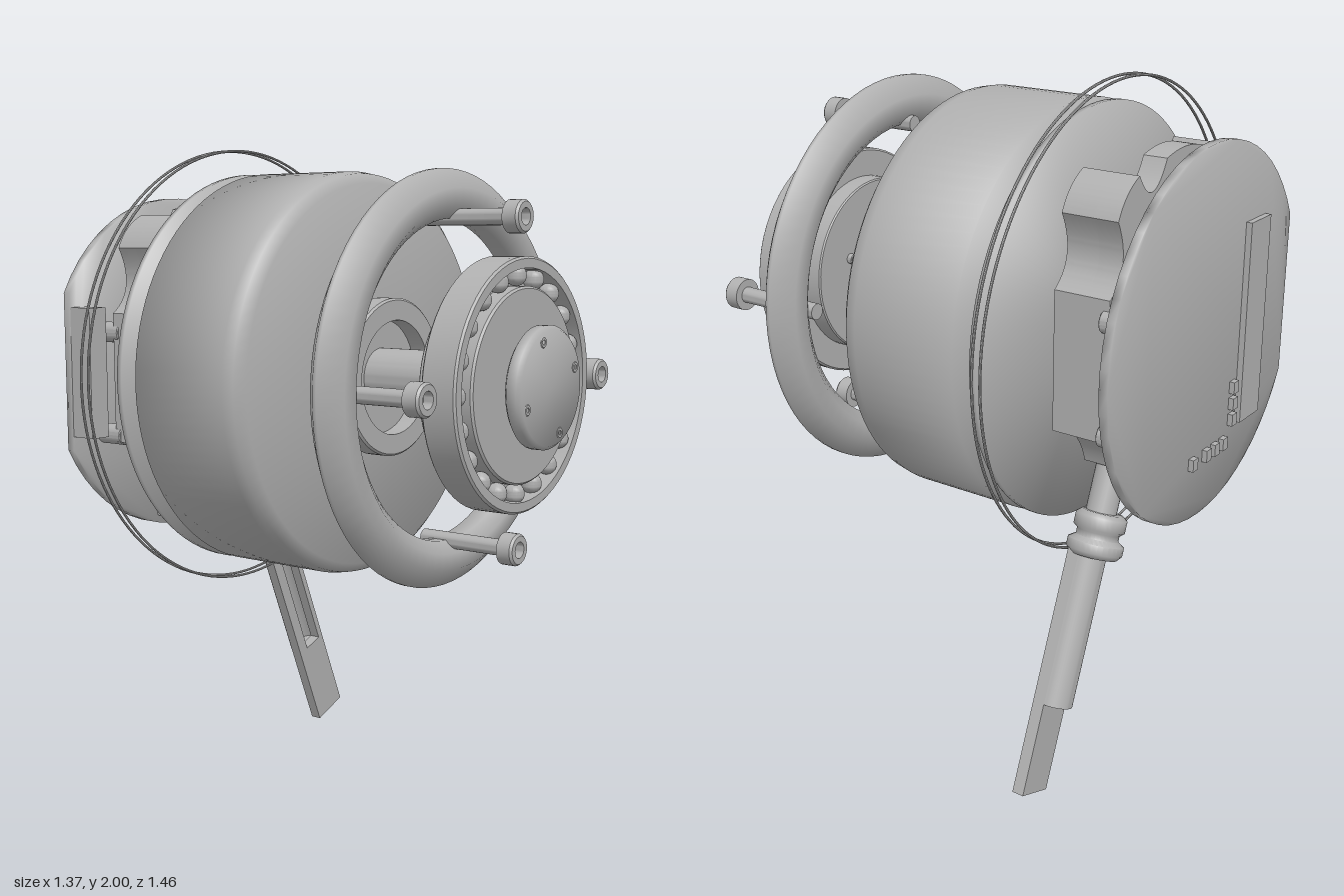
import * as THREE from 'three';
import { toCreasedNormals } from 'three/addons/utils/BufferGeometryUtils.js';

export function createModel() {
  const model = new THREE.Group();
  const metal = new THREE.MeshStandardMaterial({ color: 0xb0b0b0, side: THREE.DoubleSide });
  metal.name = 'grey metal';
  const SHARP = 0.6, SMOOTH = Math.PI;

  // everything but the lever hangs on one horizontal axis
  const axis = new THREE.Group();
  axis.name = 'axisAssembly';
  axis.position.y = 1.318;
  model.add(axis);

  function add(name, geometry, x = 0, y = 0, z = 0, crease = SHARP, parent = axis) {
    const mesh = new THREE.Mesh(toCreasedNormals(geometry, crease), metal);
    mesh.name = name;
    mesh.position.set(x, y, z);
    parent.add(mesh);
    return mesh;
  }
  // [radius, z] profile turned about the z axis
  const turned = (profile, segments = 64) =>
    new THREE.LatheGeometry(profile.map(([r, z]) => new THREE.Vector2(r, z)), segments).rotateX(Math.PI / 2);
  // disc or ring with small chamfers
  function ring(rIn, rOut, z0, z1, c = 0.004, segments = 64) {
    const p = [[rIn, z0], [rOut - c, z0], [rOut, z0 + c], [rOut, z1 - c], [rOut - c, z1], [rIn, z1]];
    if (rIn > 0) p.push([rIn, z0]);
    return turned(p, segments);
  }
  const box = (x0, x1, y0, y1, z0, z1) =>
    new THREE.BoxGeometry(x1 - x0, y1 - y0, z1 - z0).translate((x0 + x1) / 2, (y0 + y1) / 2, (z0 + z1) / 2);
  const extrude = (shape, z0, z1) =>
    new THREE.ExtrudeGeometry(shape, { depth: z1 - z0, bevelEnabled: false, curveSegments: 24 }).translate(0, 0, z0);

  // central shaft
  add('shaft', ring(0, 0.086, -0.45, 0.5));

  // front cap with four small flush screws
  add('frontCap', turned([[0, 0.6], [0.11, 0.6], [0.11, 0.675], [0.16, 0.675], [0.173, 0.686],
    [0.173, 0.715], [0.162, 0.727], [0, 0.727]]), 0, 0, 0, 0.9);
  for (let i = 0; i < 4; i++) {
    const a = 0.37 + i * Math.PI / 2;
    add('capScrew', ring(0.007, 0.016, 0.72, 0.729, 0.002, 16), Math.cos(a) * 0.138, Math.sin(a) * 0.138);
  }

  // ball bearing
  add('bearingOuterRing', ring(0.328, 0.36, 0.535, 0.645, 0.006));
  add('bearingInnerRing', ring(0.11, 0.278, 0.535, 0.645, 0.006));
  add('bearingBack', ring(0.27, 0.335, 0.535, 0.59));
  for (let i = 0; i < 20; i++) {
    const a = i * Math.PI / 10 + 0.02;
    add('bearingBall', new THREE.SphereGeometry(0.03, 16, 12), Math.cos(a) * 0.307, Math.sin(a) * 0.307, 0.61);
  }
  add('bearingFlange', ring(0, 0.275, 0.47, 0.536));
  for (let i = 0; i < 4; i++) {
    const a = 0.37 + i * Math.PI / 2;
    add('flangePin', ring(0, 0.016, 0.452, 0.475, 0.002, 16), Math.cos(a) * 0.14, Math.sin(a) * 0.14);
  }

  // bevelled clamp ring, softly shaded, and its socket bolts
  add('clampRing', turned([[0.5, 0.315], [0.55, 0.315], [0.605, 0.366], [0.605, 0.378], [0.55, 0.43],
    [0.5, 0.43], [0.465, 0.4], [0.465, 0.345], [0.5, 0.315]], 80), 0, 0, 0, SMOOTH);
  for (let i = 0; i < 4; i++) {
    const a = i * Math.PI / 2;
    add('clampBolt', turned([[0, 0.308], [0.024, 0.308], [0.024, 0.585], [0.047, 0.585], [0.047, 0.628],
      [0.041, 0.635], [0.024, 0.635], [0.024, 0.605], [0, 0.605]], 24), Math.cos(a) * 0.468, Math.sin(a) * 0.468);
  }

  // spacer ring
  add('spacerRing', ring(0.17, 0.235, 0.13, 0.2, 0.006));
  add('spacerWeb', ring(0.08, 0.175, 0.13, 0.145));

  // main drum and its back plate
  add('drum', turned([[0.086, -0.28], [0.605, -0.28], [0.605, 0.05], [0.598, 0.085], [0.57, 0.11], [0.086, 0.11]], 96),
    0, 0, 0, SMOOTH);
  add('backPlate', turned([[0.086, -0.354], [0.605, -0.354], [0.605, -0.337], [0.086, -0.337]], 96), 0, 0, 0, SMOOTH);

  // two thin wire loops, the front one slightly tilted
  [-0.394, -0.427].forEach((z, i) => {
    const loop = add('wireLoop', new THREE.TorusGeometry(0.679, 0.004, 8, 120), i ? 0.003 : -0.003, 0, z);
    loop.rotation.y = i ? 0 : 0.004;
  });

  // scalloped housing: solid base with a raised block on either side of a gear bay
  const base = new THREE.Shape();
  base.moveTo(-0.2, -0.37);
  base.lineTo(0.2, -0.37);
  base.quadraticCurveTo(0.24, -0.24, 0.37, -0.22);
  base.lineTo(0.37, 0.18);
  base.quadraticCurveTo(0.27, 0.25, 0.34, 0.38);
  base.quadraticCurveTo(0.31, 0.45, 0.24, 0.48);
  base.quadraticCurveTo(0.17, 0.36, 0.1, 0.5);
  base.quadraticCurveTo(0, 0.53, -0.1, 0.5);
  base.quadraticCurveTo(-0.17, 0.36, -0.24, 0.48);
  base.quadraticCurveTo(-0.31, 0.45, -0.34, 0.38);
  base.quadraticCurveTo(-0.27, 0.25, -0.37, 0.18);
  base.lineTo(-0.37, -0.22);
  base.quadraticCurveTo(-0.24, -0.24, -0.2, -0.37);
  add('housingBase', extrude(base, -0.612, -0.54));
  for (const s of [-1, 1]) {
    const side = new THREE.Shape();
    side.moveTo(s * 0.16, -0.37);
    side.lineTo(s * 0.2, -0.37);
    side.quadraticCurveTo(s * 0.24, -0.24, s * 0.37, -0.22);
    side.lineTo(s * 0.37, 0.18);
    side.quadraticCurveTo(s * 0.27, 0.25, s * 0.34, 0.38);
    side.quadraticCurveTo(s * 0.31, 0.45, s * 0.24, 0.48);
    side.quadraticCurveTo(s * 0.2, 0.4, s * 0.16, 0.41);
    side.quadraticCurveTo(s * 0.25, 0, s * 0.16, -0.37);
    add('housingSide', extrude(side, -0.54, -0.442));
  }
  add('housingBoss', ring(0, 0.085, -0.63, -0.61, 0.008));

  // toothed wheel in the bay
  const gear = new THREE.Shape();
  const teeth = 48;
  for (let i = 0; i < teeth * 4; i++) {
    const r = i % 4 < 2 ? 0.165 : 0.152, a = i / (teeth * 4) * Math.PI * 2;
    gear[i ? 'lineTo' : 'moveTo'](Math.cos(a) * r, Math.sin(a) * r);
  }
  add('gear', extrude(gear, -0.492, -0.46));
  add('gearHub', ring(0, 0.105, -0.55, -0.49));

  // long pin above the shaft and posts reaching back to the board
  add('longPin', ring(0, 0.025, -0.69, -0.4, 0.004, 20), 0, 0.352);
  for (const [x, y] of [[-0.345, 0.12], [0.36, 0.12], [-0.345, -0.2], [0.36, -0.2]])
    add('post', ring(0, 0.032, -0.69, -0.59, 0.003, 20), x, y);

  // round circuit board with one flat edge
  const cut = Math.acos(-0.48 / 0.538);
  const board = new THREE.Shape();
  board.absarc(0, 0, 0.538, -cut, cut, false);
  board.closePath();
  add('board', extrude(board, -0.711, -0.686), 0, 0, 0, SMOOTH);
  add('edgeBlock', box(-0.478, -0.41, -0.2, 0.2, -0.69, -0.602));
  add('lowerBlock', box(-0.12, 0.16, -0.5, -0.3, -0.69, -0.6));
  add('middleBlock', box(-0.14, 0.05, -0.07, 0.28, -0.69, -0.612));

  // parts on the back of the board
  add('backConnector', box(-0.31, -0.19, -0.32, 0.28, -0.729, -0.71));
  for (const [x, y] of [[-0.16, -0.2], [-0.16, -0.25], [-0.16, -0.3], [-0.11, -0.36], [-0.06, -0.36], [-0.01, -0.36], [0.07, -0.36]])
    add('boardChip', box(x - 0.014, x + 0.014, y - 0.018, y + 0.018, -0.727, -0.71));

  // slanted lever: slotted blade, rounded rear channel and collar
  const lever = new THREE.Group();
  lever.name = 'lever';
  lever.position.set(0.24, 0.72, -0.48);
  lever.rotation.z = 0.388;
  model.add(lever);
  const blade = new THREE.Shape([[-0.065, -0.745], [0.065, -0.745], [0.065, 0], [-0.065, 0]]
    .map(([x, y]) => new THREE.Vector2(x, y)));
  blade.holes.push(new THREE.Path([[-0.025, -0.03], [0.045, -0.03], [0.045, -0.46], [-0.025, -0.46]]
    .map(([x, y]) => new THREE.Vector2(x, y))));
  add('leverBlade', extrude(blade, -0.018, 0.018), 0, 0, 0, SHARP, lever);
  add('leverChannel', new THREE.CylinderGeometry(0.055, 0.055, 0.475, 24, 1, false, Math.PI / 2, Math.PI),
    0.01, -0.2375, -0.018, SHARP, lever);
  const collar = new THREE.LatheGeometry([[0, -0.035], [0.07, -0.035], [0.082, -0.02], [0.082, 0.005], [0.062, 0.018],
    [0.062, 0.035], [0.075, 0.045], [0.075, 0.08], [0.06, 0.092], [0, 0.092]].map(([r, y]) => new THREE.Vector2(r, y)), 32);
  add('leverCollar', collar, 0, 0, -0.03, 1, lever);
  add('leverRod', new THREE.CylinderGeometry(0.045, 0.045, 0.28, 24), 0, 0.21, -0.025, SHARP, lever);

  return model;
}
